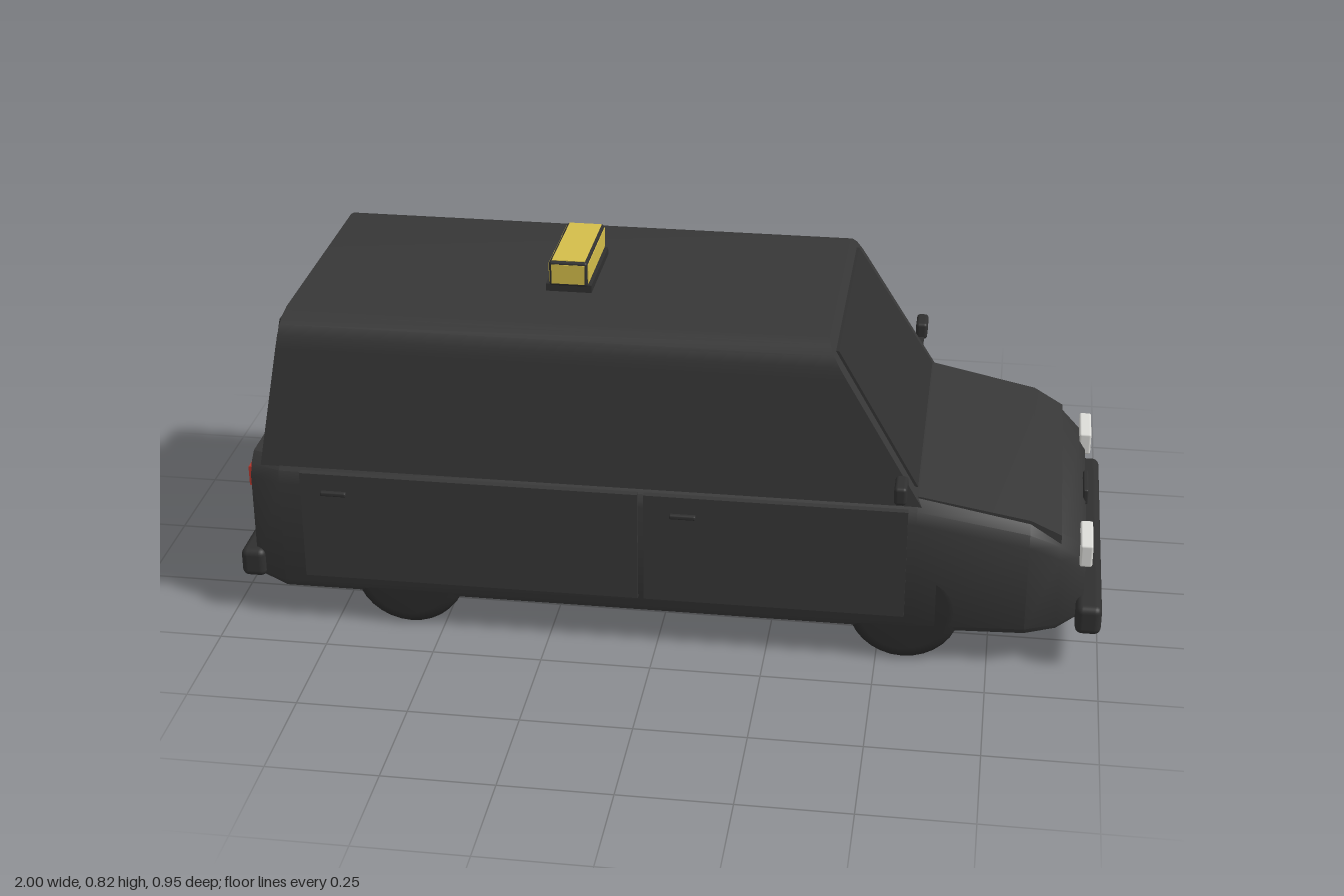
import * as THREE from 'three';
import { toCreasedNormals } from 'three/addons/utils/BufferGeometryUtils.js';
import { RoundedBoxGeometry } from 'three/addons/geometries/RoundedBoxGeometry.js';

const material = (name, color) => {
  const m = new THREE.MeshStandardMaterial({ color });
  m.name = name;
  return m;
};

// Mirror a half section of [z, y] points (bottom to top) into a closed ring
const mirrored = (half) => [...half, ...half.map(([z, y]) => [-z, y]).reverse()];

// Skin a row of rings of [x, y, z] points, running from rear to front, and cap both ends
function loft(rings) {
  const n = rings[0].length, last = rings.length - 1, pos = [];
  const tri = (a, b, c) => pos.push(...a, ...b, ...c);
  for (let k = 0; k < last; k++) {
    for (let i = 0; i < n; i++) {
      const j = (i + 1) % n;
      const a = rings[k][i], b = rings[k][j], c = rings[k + 1][j], d = rings[k + 1][i];
      tri(a, d, c);
      tri(a, c, b);
    }
  }
  for (let i = 1; i < n - 1; i++) {
    tri(rings[0][0], rings[0][i], rings[0][i + 1]);
    tri(rings[last][0], rings[last][i + 1], rings[last][i]);
  }
  const geo = new THREE.BufferGeometry();
  geo.setAttribute('position', new THREE.Float32BufferAttribute(pos, 3));
  return toCreasedNormals(geo, 0.6);
}

export function createModel() {
  const black = material('black paint', 0x373737);
  const trim = material('dark trim', 0x303030);
  const rubber = material('tyre rubber', 0x2b2b2b);
  const yellow = material('sign yellow', 0xd4bd4a);
  const white = material('lamp white', 0xdcdcd8);
  const red = material('tail lamp red', 0xb5352b);

  const car = new THREE.Group();
  car.name = 'taxi';
  const add = (name, geo, mat, x = 0, y = 0, z = 0, parent = car) => {
    const m = new THREE.Mesh(geo, mat);
    m.name = name;
    m.position.set(x, y, z);
    parent.add(m);
    return m;
  };
  const box = (w, h, d) => new THREE.BoxGeometry(w, h, d);
  const rounded = (w, h, d, r) => new RoundedBoxGeometry(w, h, d, 3, r);

  // Lower body: stations of x, half width, bottom and top
  const stations = [
    [-0.945, 0.355, 0.09, 0.395], [-0.87, 0.39, 0.08, 0.4], [0.58, 0.39, 0.08, 0.4],
    [0.83, 0.375, 0.08, 0.352], [0.9, 0.35, 0.085, 0.315],
    [0.945, 0.325, 0.105, 0.278], [0.958, 0.315, 0.14, 0.258],
  ];
  add('lowerBody', loft(stations.map(([x, w, b, t]) => mirrored([
    [w - 0.01, b], [w, b + 0.015], [w, t - 0.05], [w - 0.01, t - 0.022], [w - 0.035, t],
  ]).map(([z, y]) => [x, y, z]))), black);

  // Bonnet panel lying on the nose
  const bonnet = [[0.58, 0.355, 0.4], [0.83, 0.345, 0.352], [0.9, 0.335, 0.315]];
  add('bonnet', loft(bonnet.map(([x, w, y]) => mirrored([[w, y - 0.02], [w, y + 0.004]])
    .map(([z, h]) => [x, h, z]))), black);

  // Cabin with sloping front and rear ends
  const frontX = (y) => 0.58 - (y - 0.4) * 0.61;
  const rearX = (y) => -0.912 + (y - 0.4) * 0.17;
  const cabin = mirrored([
    [0.371, 0.385], [0.348, 0.67], [0.344, 0.7], [0.333, 0.722], [0.312, 0.738], [0.283, 0.745],
  ]);
  add('cabin', loft([rearX, frontX].map((fx) => cabin.map(([z, y]) => [fx(y), y, z]))), black);

  // Windscreen and rear window plates
  const pane = mirrored([[0.33, 0.415], [0.3, 0.72]]);
  const plate = (fx, from, to) => loft([from, to].map((o) => pane.map(([z, y]) => [fx(y) + o, y, z])));
  add('windscreen', plate(frontX, -0.002, 0.007), trim);
  add('rearWindow', plate(rearX, -0.009, 0.0), trim);

  // Doors, handles, mirrors and lamps on both sides
  const tyre = new THREE.LatheGeometry([
    [0, -0.042], [0.1, -0.042], [0.118, -0.038], [0.127, -0.028], [0.13, -0.015],
    [0.13, 0.015], [0.127, 0.028], [0.118, 0.038], [0.1, 0.042], [0, 0.042],
  ].map(([r, h]) => new THREE.Vector2(r, h)), 32).rotateX(Math.PI / 2);

  for (const [side, s] of [['left', 1], ['right', -1]]) {
    // The model faces its front along +z, so these are the near and far flanks
    const flank = new THREE.Group();
    flank.name = side === 'left' ? 'nearFlank' : 'farFlank';
    car.add(flank);
    add('frontDoor', box(0.59, 0.265, 0.016), black, 0.266, 0.252, s * 0.39, flank);
    add('rearDoor', box(0.775, 0.265, 0.016), black, -0.43, 0.252, s * 0.39, flank);
    for (const x of [0.06, -0.74]) {
      add('doorHandle', rounded(0.06, 0.011, 0.014, 0.004), trim, x, 0.338, s * 0.4, flank);
    }
    add('mirror', rounded(0.028, 0.042, 0.068, 0.008), trim, 0.545, 0.461, s * 0.44, flank);
    add('mirrorStem', box(0.014, 0.008, 0.06), trim, 0.545, 0.443, s * 0.388, flank);
    add('headlight', rounded(0.028, 0.054, 0.122, 0.005), white, 0.957, 0.272, s * 0.279, flank);
    add('tailLight', box(0.016, 0.047, 0.125), red, -0.944, 0.342, s * 0.285, flank);
    for (const x of [0.56, -0.58]) add('wheel', tyre, rubber, x, 0.13, s * 0.345, flank);
  }

  // Bumpers, grille, front strip and exhaust
  add('frontBumper', rounded(0.058, 0.07, 0.755, 0.016), trim, 0.971, 0.126, 0);
  add('rearBumper', rounded(0.058, 0.07, 0.755, 0.016), trim, -0.951, 0.126, 0);
  add('grille', rounded(0.012, 0.037, 0.104, 0.004), trim, 0.957, 0.27, 0);
  add('frontStrip', box(0.004, 0.004, 0.166), white, 0.996, 0.098, 0);
  add('exhaust', new THREE.CylinderGeometry(0.01, 0.01, 0.12, 16).rotateZ(Math.PI / 2),
    trim, -0.94, 0.067, 0.27);

  // Roof sign: dark frame with a yellow plate on each exposed face
  const sign = new THREE.Group();
  sign.name = 'roofSign';
  sign.position.set(-0.24, 0.79, 0);
  car.add(sign);
  add('signBase', box(0.105, 0.02, 0.232), trim, 0, -0.037, 0, sign);
  add('signFrame', rounded(0.088, 0.059, 0.244, 0.006), trim, 0, 0, 0, sign);
  for (const s of [1, -1]) {
    add('signFace', box(0.004, 0.046, 0.23), yellow, s * 0.0435, 0, 0, sign);
    add('signEnd', box(0.076, 0.046, 0.004), yellow, 0, 0, s * 0.1215, sign);
  }
  add('signTop', box(0.076, 0.004, 0.23), yellow, 0, 0.029, 0, sign);

  return car;
}
